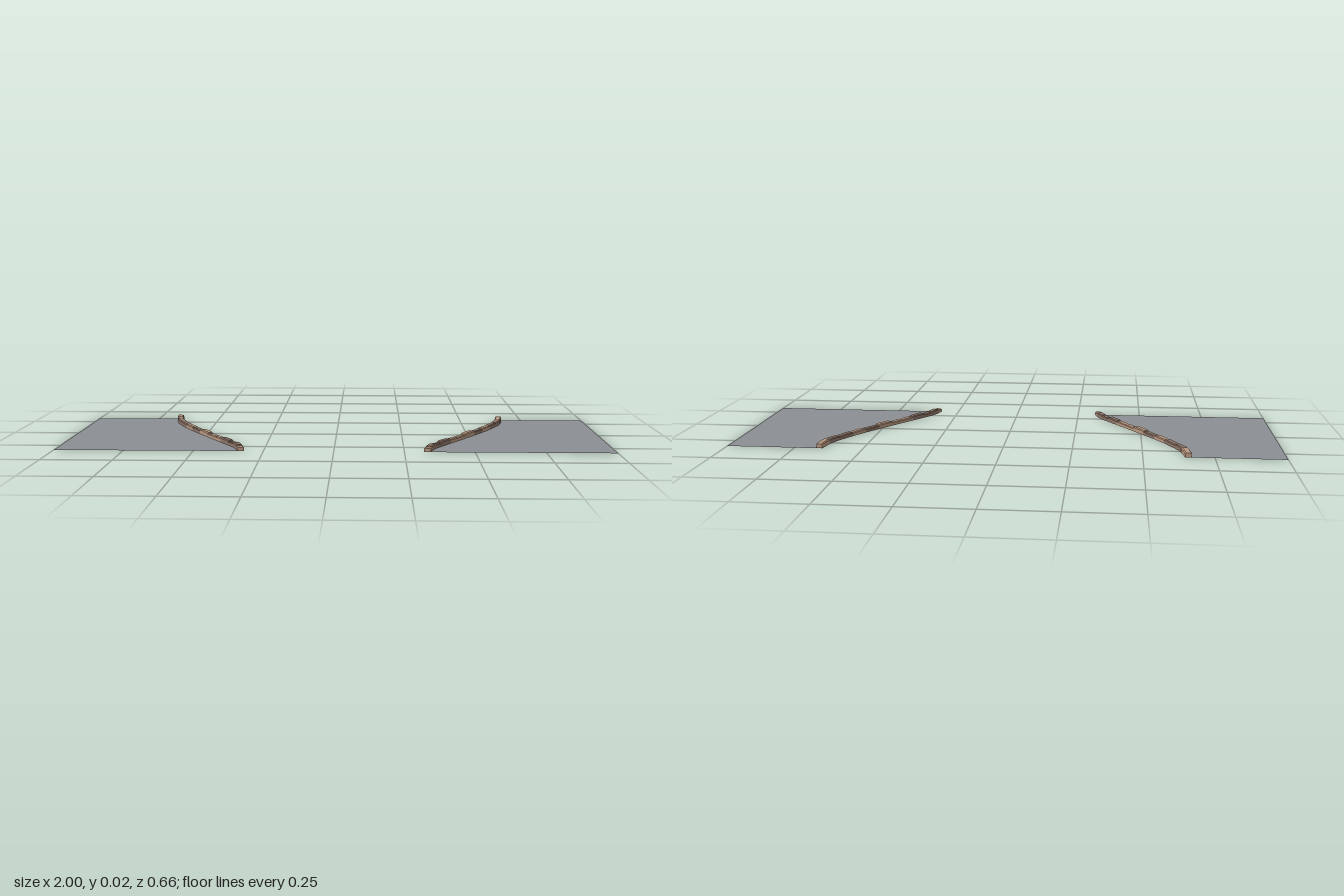
import * as THREE from 'three';

const HALF_DEPTH = 0.332;
const KERB_WIDTH = 0.024;

// Centre line of the left kerb as (x, z); the other side is mirrored
const kerbLine = new THREE.SplineCurve([
  [0.66, -0.345], [0.645, -0.25], [0.61, -0.165], [0.565, -0.08], [0.517, 0],
  [0.455, 0.1], [0.392, 0.2], [0.35, 0.27], [0.327, 0.345],
].map(([x, z]) => new THREE.Vector2(x, z)));

function kerbX(z) {
  let lo = 0, hi = 1;
  for (let i = 0; i < 24; i++) {
    const mid = (lo + hi) / 2;
    if (kerbLine.getPoint(mid).y < z) lo = mid; else hi = mid;
  }
  return kerbLine.getPoint(lo).x;
}

// Stone joints along z, with each stone's height at both ends and its shade
const joints = [-0.332, -0.26, -0.196, -0.128, -0.066, -0.003, 0.061, 0.113, 0.161, 0.218, 0.257, 0.302, 0.332];
const stones = [
  [0.018, 0.02, 'light'], [0.019, 0.016, 'dark'], [0.015, 0.016, 'dark'], [0.015, 0.016, 'light'],
  [0.014, 0.014, 'dark'], [0.019, 0.018, 'light'], [0.013, 0.014, 'light'], [0.014, 0.015, 'light'],
  [0.018, 0.019, 'dark'], [0.013, 0.016, 'dark'], [0.018, 0.018, 'dark'], [0.015, 0.014, 'light'],
];

// Cross-section of a worn kerb stone: across, up
const profile = [[-0.5, 0], [-0.5, 0.78], [-0.36, 0.97], [0.36, 1], [0.5, 0.8], [0.5, 0]];

function stoneGeometry(z0, z1, h0, h1, side) {
  const steps = [0, 0.1, 0.37, 0.63, 0.9, 1];
  const n = profile.length;
  const pos = [], index = [];
  for (const t of steps) {
    const z = THREE.MathUtils.lerp(z0, z1, t);
    const slope = (kerbX(z + 0.005) - kerbX(z - 0.005)) / 0.01;
    const len = Math.hypot(1, slope);
    const end = t === 0 || t === 1;
    const h = THREE.MathUtils.lerp(h0, h1, t) * (end ? 0.9 : 1);
    const w = KERB_WIDTH * (end ? 0.92 : 1);
    for (const [u, v] of profile) {
      const pz = THREE.MathUtils.clamp(z - u * w * slope / len, -HALF_DEPTH, HALF_DEPTH);
      pos.push(side * (kerbX(z) + u * w / len), v * h, pz);
    }
  }
  const tri = (a, b, c) => (side > 0 ? index.push(a, b, c) : index.push(a, c, b));
  for (let i = 0; i < steps.length - 1; i++) {
    for (let j = 0; j < n; j++) {
      const k = (j + 1) % n;
      const a = i * n + j, b = i * n + k, c = b + n, d = a + n;
      tri(a, d, c);
      tri(a, c, b);
    }
  }
  // End faces
  const last = (steps.length - 1) * n;
  for (let j = 1; j < n - 1; j++) {
    tri(0, j, j + 1);
    tri(last, last + j + 1, last + j);
  }
  const geo = new THREE.BufferGeometry();
  geo.setAttribute('position', new THREE.Float32BufferAttribute(pos, 3));
  geo.setIndex(index);
  const flat = geo.toNonIndexed();
  flat.computeVertexNormals();
  return flat;
}

// Flat ground between the outer edge and the kerb line
function groundGeometry(side) {
  const shape = new THREE.Shape();
  shape.moveTo(side, HALF_DEPTH);
  shape.lineTo(side, -HALF_DEPTH);
  const cuts = 32;
  for (let i = 0; i <= cuts; i++) {
    const z = HALF_DEPTH * (1 - 2 * i / cuts);
    shape.lineTo(side * kerbX(z), -z);
  }
  shape.closePath();
  return new THREE.ShapeGeometry(shape).rotateX(-Math.PI / 2);
}

function material(name, color, options = {}) {
  const m = new THREE.MeshStandardMaterial({ color, ...options });
  m.name = name;
  return m;
}

export function createModel() {
  const model = new THREE.Group();
  model.name = 'kerbedGround';
  const ground = material('grey paving', 0x8b8e93, { side: THREE.DoubleSide });
  const shades = {
    light: material('light tan stone', 0xb8977f),
    dark: material('dark brown stone', 0x8c7466),
  };

  for (const side of [1, -1]) {
    const half = new THREE.Group();
    half.name = side > 0 ? 'leftSide' : 'rightSide';

    const plate = new THREE.Mesh(groundGeometry(side), ground);
    plate.name = 'ground';
    half.add(plate);

    const kerb = new THREE.Group();
    kerb.name = 'kerb';
    stones.forEach(([h0, h1, shade], i) => {
      const stone = new THREE.Mesh(stoneGeometry(joints[i], joints[i + 1], h0, h1, side), shades[shade]);
      stone.name = `kerbStone${i + 1}`;
      kerb.add(stone);
    });
    half.add(kerb);
    model.add(half);
  }
  return model;
}
